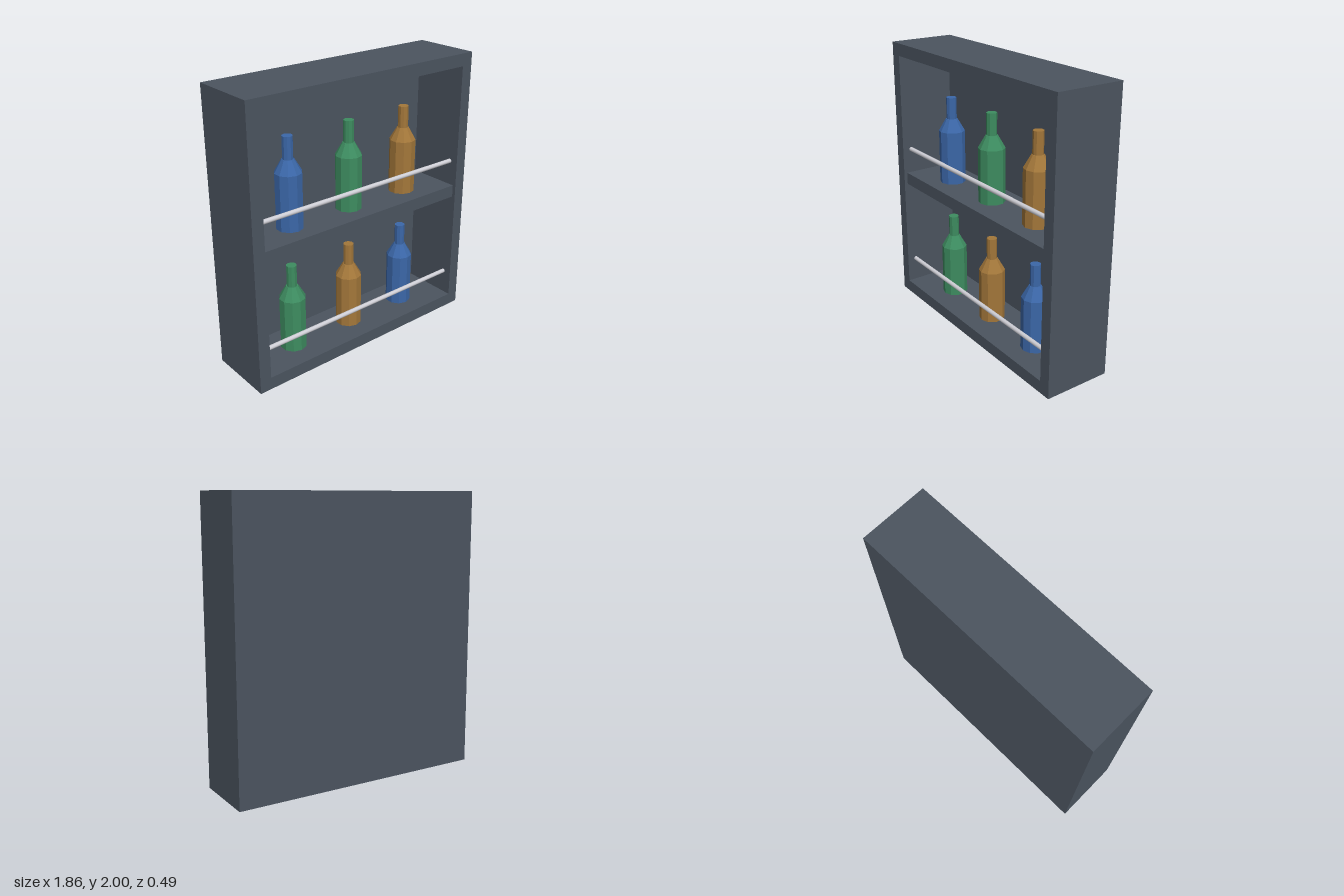
import * as THREE from 'three';

const mat = (name, color, flatShading = false) => {
  const m = new THREE.MeshStandardMaterial({ color, flatShading });
  m.name = name;
  return m;
};

export function createModel() {
  const slate = mat('slate', 0x4b545f);
  const blue = mat('blueGlass', 0x3b67a8, true);
  const green = mat('greenGlass', 0x3d8c60, true);
  const amber = mat('amberGlass', 0xa3773a, true);
  const steel = mat('steel', 0xcfcfd6);
  const glow = mat('warmLight', 0xdba23c);

  const group = new THREE.Group();
  group.name = 'bottleCabinet';

  const add = (parent, name, geometry, material, x, y, z) => {
    const mesh = new THREE.Mesh(geometry, material);
    mesh.name = name;
    mesh.position.set(x, y, z);
    parent.add(mesh);
    return mesh;
  };

  // Cabinet: one extruded frame with a rectangular opening, closed by a back panel
  const W = 0.93, H = 2, D = 0.245, wall = 0.085, backZ = -0.18;
  const rect = (path, x, y0, y1) =>
    path.moveTo(-x, y0).lineTo(x, y0).lineTo(x, y1).lineTo(-x, y1).closePath();
  const outline = rect(new THREE.Shape(), W, 0, H);
  outline.holes.push(rect(new THREE.Path(), W - wall, 0.09, 1.91));
  add(group, 'frame', new THREE.ExtrudeGeometry(outline, { depth: D * 2, bevelEnabled: false }),
    slate, 0, 0, -D);
  add(group, 'backPanel', new THREE.BoxGeometry((W - wall) * 2, 1.82, backZ + D),
    slate, 0, 1, (backZ - D) / 2);
  add(group, 'middleShelf', new THREE.BoxGeometry((W - wall) * 2, 0.09, 0.22 - backZ),
    slate, 0, 0.965, (0.22 + backZ) / 2);

  // Bottle parts, shared by every bottle
  const sides = 10;
  const body = new THREE.CylinderGeometry(0.094, 0.094, 0.39, sides);
  const shoulder = new THREE.CylinderGeometry(0.042, 0.094, 0.09, sides);
  const neck = new THREE.CylinderGeometry(0.037, 0.037, 0.155, sides);
  const addBottle = (material, x, floor) => {
    const bottle = new THREE.Group();
    bottle.name = 'bottle';
    bottle.position.set(x, floor, 0.025);
    add(bottle, 'bottleBody', body, material, 0, 0.195, 0);
    add(bottle, 'bottleShoulder', shoulder, material, 0, 0.435, 0);
    add(bottle, 'bottleNeck', neck, material, 0, 0.5575, 0);
    group.add(bottle);
  };

  // Each bay: three bottles, a guard rail and a light strip under its ceiling
  const railShape = new THREE.CylinderGeometry(0.016, 0.016, 1.68, 12);
  const stripShape = new THREE.BoxGeometry(1.585, 0.016, 0.03);
  const bays = [
    { floor: 0.09, ceiling: 0.92, bottles: [green, amber, blue] },
    { floor: 1.01, ceiling: 1.91, bottles: [blue, green, amber] },
  ];
  for (const { floor, ceiling, bottles } of bays) {
    bottles.forEach((material, i) => addBottle(material, (i - 1) * 0.5, floor));
    add(group, 'guardRail', railShape, steel, 0, floor + 0.185, 0.18).rotation.z = Math.PI / 2;
    add(group, 'lightStrip', stripShape, glow, 0, ceiling - 0.008, 0.1);
  }

  return group;
}
